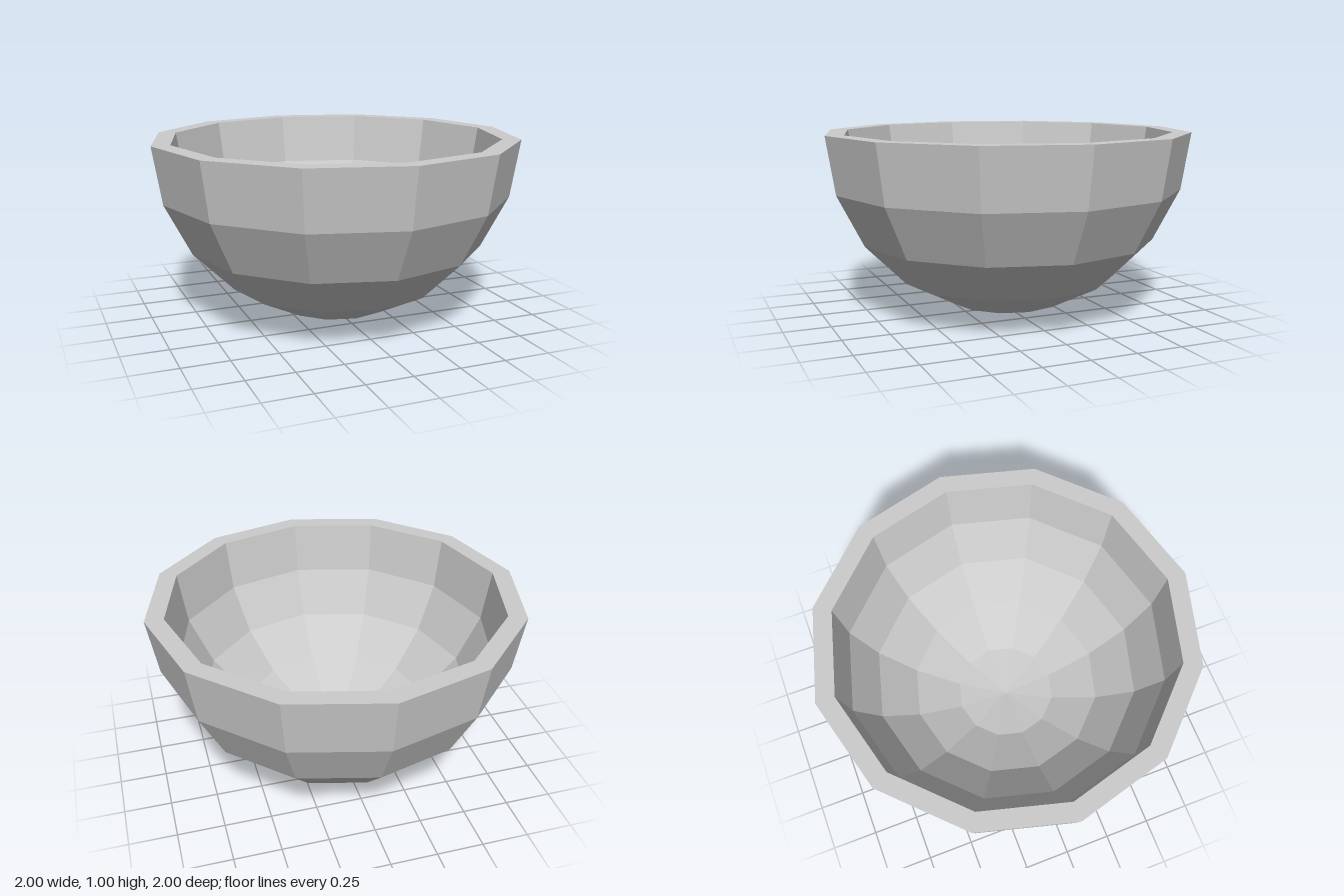
import * as THREE from 'three';

const SIDES = 12, RINGS = 5, OUTER = 1, INNER = 0.9;

// Quarter-circle profile of a hemisphere centred at y = 1, from pole to rim
function quarterArc(radius) {
  return Array.from({ length: RINGS + 1 }, (_, i) => {
    const a = (i / RINGS) * Math.PI / 2;
    return new THREE.Vector2(radius * Math.sin(a), 1 - radius * Math.cos(a));
  });
}

export function createModel() {
  const material = new THREE.MeshStandardMaterial({ color: 0xcccccc, flatShading: true });
  const group = new THREE.Group();
  group.name = 'bowl';

  const addPart = (name, profile) => {
    const geometry = new THREE.LatheGeometry(profile, SIDES).toNonIndexed();
    geometry.computeVertexNormals();
    const mesh = new THREE.Mesh(geometry, material);
    mesh.name = name;
    group.add(mesh);
  };

  const outer = quarterArc(OUTER);
  const inner = quarterArc(INNER).reverse();

  addPart('outerShell', outer);                // faces outward
  addPart('rim', [outer[RINGS], inner[0]]);    // flat ring facing up
  addPart('innerShell', inner);                // faces the hollow

  return group;
}
